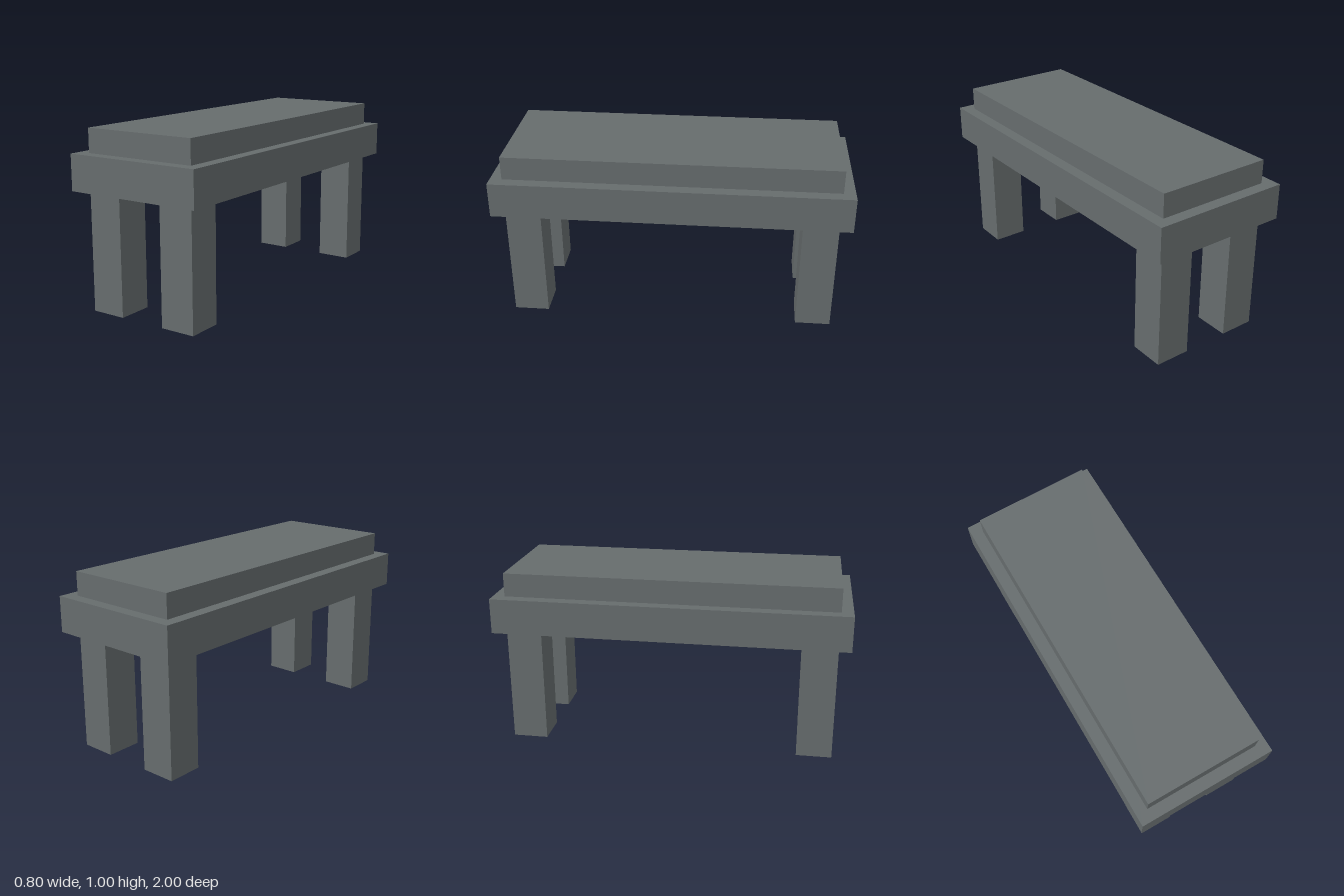
import * as THREE from 'three';

export function createModel() {
  const model = new THREE.Group();
  model.name = 'bench';

  const stone = new THREE.MeshStandardMaterial({ color: 0x666c6d, flatShading: true });
  stone.name = 'stoneGrey';
  const hollowStone = stone.clone(); // same grey, seen from both sides on the open legs
  hollowStone.side = THREE.DoubleSide;

  const add = (name, geometry, material, x, y, z) => {
    const mesh = new THREE.Mesh(geometry, material);
    mesh.name = name;
    mesh.position.set(x, y, z);
    model.add(mesh);
  };

  // Wide frame with a narrower slab on top
  add('frame', new THREE.BoxGeometry(0.8, 0.2, 2), stone, 0, 0.7667, 0);
  add('topSlab', new THREE.BoxGeometry(0.6667, 0.1333, 1.8667), stone, 0, 0.9333, 0);

  // Four square legs, hollow and open at the foot
  const legHeight = 0.6667;
  const r = 0.1 * Math.SQRT2;
  const leg = new THREE.CylinderGeometry(r, r, legHeight, 4, 1, true, Math.PI / 4);
  for (const [side, sx] of [['Left', 1], ['Right', -1]]) {
    for (const [end, sz] of [['front', 1], ['back', -1]]) {
      add(`${end}${side}Leg`, leg, hollowStone, sx * 0.2333, legHeight / 2, sz * 0.8333);
    }
  }
  return model;
}
